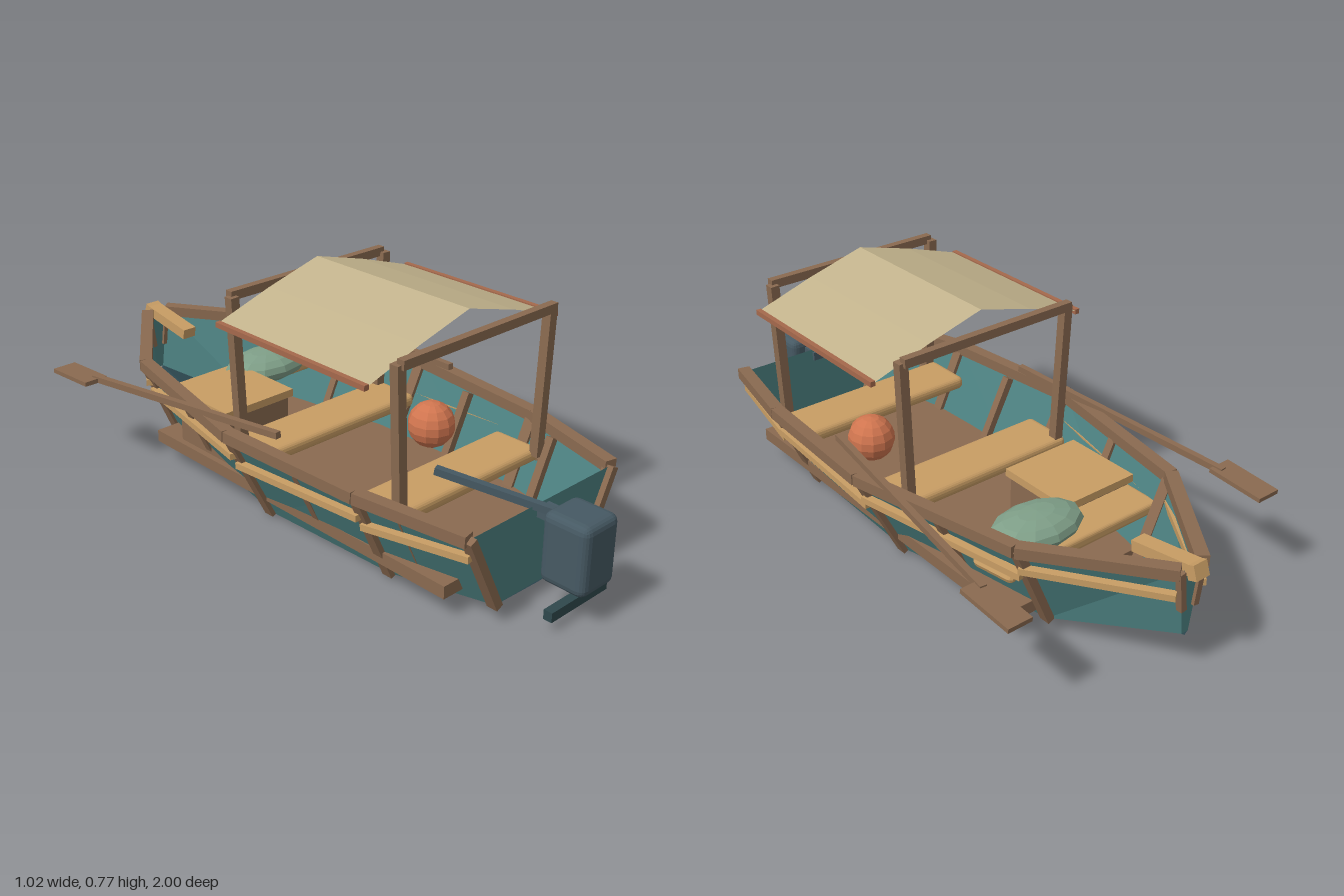
import * as THREE from 'three';
import { RoundedBoxGeometry } from 'three/addons/geometries/RoundedBoxGeometry.js';

const mat = (color, side = THREE.FrontSide) =>
  new THREE.MeshStandardMaterial({ color, side, flatShading: true });
const WOOD = mat(0x8a6a50), TAN = mat(0xc89d64), TEAL = mat(0x4c8080, THREE.DoubleSide),
  DARK = mat(0x2a444c, THREE.DoubleSide), CANVAS = mat(0xc2b38c, THREE.DoubleSide),
  GREEN = mat(0x7f9f88), ORANGE = mat(0xd0754f), METAL = mat(0x465963), PROP = mat(0x2f484c),
  ROD = mat(0xa5694c);

const V = (x, y, z) => new THREE.Vector3(x, y, z);

// Hull stations, stern to bow: z, sheer half width and height, chine half width and height, keel height
const STATIONS = [
  [0.8, 0.30, 0.30, 0.18, 0.05, 0.045],
  [0.46, 0.375, 0.318, 0.235, 0.017, 0.008],
  [-0.04, 0.41, 0.33, 0.25, 0.013, 0.004],
  [-0.61, 0.295, 0.342, 0.17, 0.055, 0.045],
  [-0.96, 0.04, 0.352, 0.012, 0.14, 0.13],
];

// Point on the hull side at station values s, t = 0 at the chine and 1 at the sheer
const sidePoint = (s, t, side, out = 0) =>
  V(side * (s[3] + (s[1] - s[3]) * t + out), s[4] + (s[2] - s[4]) * t, s[0]);

// Interpolated station at any z
function stationAt(z) {
  let i = 0;
  while (i < STATIONS.length - 2 && z < STATIONS[i + 1][0]) i++;
  const a = STATIONS[i], b = STATIONS[i + 1], k = (z - a[0]) / (b[0] - a[0]);
  return a.map((v, j) => v + (b[j] - v) * k);
}

function quads(list) {
  const p = [];
  for (const [a, b, c, d] of list) for (const v of [a, b, c, a, c, d]) p.push(v.x, v.y, v.z);
  const g = new THREE.BufferGeometry();
  g.setAttribute('position', new THREE.Float32BufferAttribute(p, 3));
  g.computeVertexNormals();
  return g;
}

export function createModel() {
  const boat = new THREE.Group();
  boat.name = 'boat';

  const add = (name, geometry, material, x = 0, y = 0, z = 0) => {
    const m = new THREE.Mesh(geometry, material);
    m.name = name;
    m.position.set(x, y, z);
    boat.add(m);
    return m;
  };
  const box = (name, material, w, h, d, x, y, z) =>
    add(name, new THREE.BoxGeometry(w, h, d), material, x, y, z);
  // Square-section beam from a to b
  const beam = (name, material, a, b, w, h) => {
    const m = box(name, material, w, h, a.distanceTo(b), 0, 0, 0);
    m.position.copy(a).add(b).multiplyScalar(0.5);
    m.lookAt(b);
    return m;
  };

  // Hull shell
  const sides = [], bottom = [];
  for (let i = 0; i < STATIONS.length - 1; i++) {
    const a = STATIONS[i], b = STATIONS[i + 1];
    const ka = V(0, a[5], a[0]), kb = V(0, b[5], b[0]);
    sides.push([sidePoint(a, 0, 1), sidePoint(b, 0, 1), sidePoint(b, 1, 1), sidePoint(a, 1, 1)]);
    sides.push([sidePoint(b, 0, -1), sidePoint(a, 0, -1), sidePoint(a, 1, -1), sidePoint(b, 1, -1)]);
    bottom.push([ka, kb, sidePoint(b, 0, 1), sidePoint(a, 0, 1)]);
    bottom.push([kb, ka, sidePoint(a, 0, -1), sidePoint(b, 0, -1)]);
  }
  const stern = STATIONS[0], bow = STATIONS[4];
  const endPlate = (s, d) => quads([[sidePoint(s, 0, -d), sidePoint(s, 0, d), sidePoint(s, 1, d), sidePoint(s, 1, -d)]]);
  add('hullSides', quads(sides), TEAL);
  add('hullBottom', quads(bottom), DARK);
  add('transom', endPlate(stern, 1), TEAL);
  add('bowPlate', endPlate(bow, -1), TEAL);

  // Floor boards, a straight slab that shows through the sides
  box('floor', WOOD, 0.57, 0.04, 1.29, 0, 0.092, 0.065);

  for (const s of [-1, 1]) {
    // Gunwale and rubbing strake follow the hull stations
    for (let i = 0; i < STATIONS.length - 1; i++) {
      const a = STATIONS[i], b = STATIONS[i + 1];
      beam('gunwale', WOOD, sidePoint(a, 1, s), sidePoint(b, 1, s), 0.04, 0.035);
      beam('rubbingStrake', TAN, sidePoint(a, 0.76, s, 0.018), sidePoint(b, 0.66, s, 0.018), 0.025, 0.02);
    }
    // Ribs straddle the planking
    for (const st of STATIONS.slice(0, 4))
      beam('rib', WOOD, sidePoint(st, 0, s), sidePoint(st, 1, s), 0.036, 0.026);
    beam('stemPost', WOOD, sidePoint(bow, 0.4, s), sidePoint(bow, 1, s), 0.02, 0.02);
    for (const z of [0.57, 0.2, -0.33]) {
      const st = stationAt(z);
      const out = z < 0 ? 0 : -0.015;
      beam('shortRib', WOOD, sidePoint(st, 0.3, s, out), sidePoint(st, 0.94, s, out), 0.026, 0.026);
    }

    // Canopy posts
    for (const z of [0.545, -0.127])
      beam('canopyPost', WOOD, V(s * 0.288, 0.24, z), V(s * 0.308, 0.71, z), 0.03, 0.03);
    box('canopyEdgeRod', ROD, 0.016, 0.016, 0.61, s * 0.384, 0.654, 0.205);

    // Oars
    const grip = V(s * 0.36, 0.375, 0.13), neck = V(s * 0.455, 0.325, -0.67);
    beam('oarShaft', WOOD, grip, neck, 0.02, 0.02);
    const blade = box('oarBlade', WOOD, 0.08, 0.014, 0.19, s * 0.468, 0.319, -0.735);
    blade.rotation.x = -0.06;
  }

  // Canopy crossbars and pitched canvas
  for (const z of [0.557, -0.139])
    box('canopyCrossbar', WOOD, 0.62, 0.028, 0.025, 0, 0.711, z);
  const profile = [[-0.385, 0.655], [-0.19, 0.718], [0, 0.77], [0.19, 0.718], [0.385, 0.655]];
  const panels = [];
  for (let i = 0; i < 4; i++) {
    const [x0, y0] = profile[i], [x1, y1] = profile[i + 1];
    panels.push([V(x0, y0, 0.51), V(x1, y1, 0.51), V(x1, y1, -0.1), V(x0, y0, -0.1)]);
  }
  add('canopyCanvas', quads(panels), CANVAS);

  // Benches and bow seat
  for (const z of [0.455, -0.065])
    add('bench', new RoundedBoxGeometry(0.63, 0.045, 0.17, 2, 0.018), TAN, 0, 0.235, z);
  add('bowSeat', new RoundedBoxGeometry(0.55, 0.04, 0.15, 2, 0.012), TAN, 0, 0.235, -0.515);

  // Cargo: crate with lid, bundle and ball
  box('crate', WOOD, 0.25, 0.16, 0.24, -0.14, 0.19, -0.35);
  box('crateLid', TAN, 0.275, 0.025, 0.26, -0.138, 0.28, -0.352);
  add('bundle', new THREE.SphereGeometry(1, 12, 8), GREEN, 0.107, 0.27, -0.48).scale.set(0.16, 0.052, 0.1);
  add('ball', new THREE.SphereGeometry(0.075, 12, 9), ORANGE, 0.18, 0.265, 0.22);

  // Bow plank
  beam('bowPlank', TAN, V(0, 0.325, -0.77), V(0, 0.36, -0.985), 0.05, 0.035);
  box('bowCap', TAN, 0.05, 0.045, 0.03, 0, 0.355, -0.98).rotation.x = 0.35;

  // Fender and cleat on the left side
  const fender = add('fender', new THREE.CapsuleGeometry(0.018, 0.11, 3, 8), TAN, 0.285, 0.222, -0.515);
  fender.rotation.set(Math.PI / 2, 0, -0.17);
  add('cleat', new RoundedBoxGeometry(0.03, 0.022, 0.04, 1, 0.008), WOOD, 0.325, 0.212, 0.53);

  // Outboard motor
  add('motorHousing', new RoundedBoxGeometry(0.145, 0.215, 0.15, 2, 0.025), METAL, 0, 0.212, 0.925);
  box('motorBracket', METAL, 0.05, 0.03, 0.08, 0, 0.275, 0.83);
  beam('tiller', METAL, V(-0.01, 0.292, 0.86), V(-0.142, 0.343, 0.535), 0.022, 0.022);
  box('propeller', PROP, 0.24, 0.03, 0.028, 0, 0.052, 0.93);

  return boat;
}
